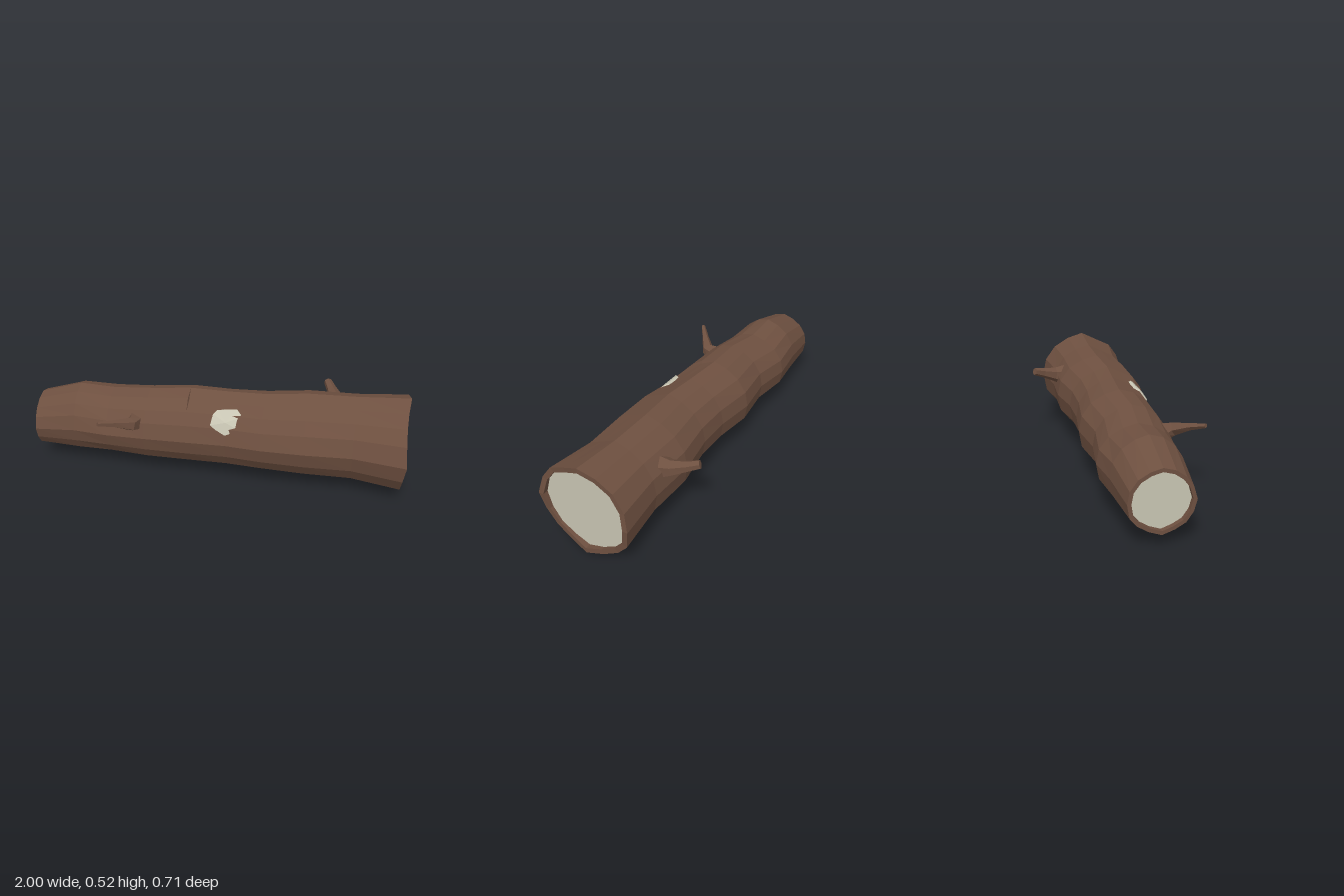
import * as THREE from 'three';

const V = (x, y, z) => new THREE.Vector3(x, y, z);

// Skin a list of closed rings (clockwise seen from the far end)
function loft(rings) {
  const n = rings[0].length, pos = [], idx = [];
  rings.forEach(r => r.forEach(p => pos.push(p.x, p.y, p.z)));
  for (let i = 0; i < rings.length - 1; i++) {
    for (let j = 0; j < n; j++) {
      const a = i * n + j, b = i * n + (j + 1) % n, c = a + n, d = b + n;
      idx.push(a, c, b, b, c, d);
    }
  }
  return build(pos, idx);
}

function build(pos, idx) {
  const g = new THREE.BufferGeometry();
  g.setAttribute('position', new THREE.Float32BufferAttribute(pos, 3));
  g.setIndex(idx);
  const flat = g.toNonIndexed();
  flat.computeVertexNormals();
  return flat;
}

// Triangle fan from a centre point to a ring
function fan(center, ring, flip) {
  const pos = [], idx = [];
  [center, ...ring].forEach(p => pos.push(p.x, p.y, p.z));
  for (let j = 0; j < ring.length; j++) {
    const a = j + 1, b = (j + 1) % ring.length + 1;
    idx.push(0, ...(flip ? [b, a] : [a, b]));
  }
  return build(pos, idx);
}

// Trunk outline as [z, y] fractions of half width and half height
const SECTION = [
  [0, 1], [-0.36, 0.9], [-0.7, 0.7], [-0.93, 0.38], [-1, 0], [-0.93, -0.41],
  [-0.71, -0.67], [-0.38, -0.87], [0, -1], [0.36, -0.87], [0.69, -0.68],
  [0.9, -0.37], [1, 0], [0.88, 0.4], [0.68, 0.68], [0.37, 0.9],
];
// x, top, bottom, front z, back z, 1 where the upper front is sliced flat
const STATIONS = [
  [-1, 0.37, 0.055, 0.165, -0.15, 0],
  [-0.77, 0.44, 0.04, 0.187, -0.175, 0],
  [-0.58, 0.43, 0.05, 0.205, -0.2, 0],
  [-0.37, 0.455, 0.043, 0.22, -0.175, 0],
  [-0.15, 0.47, 0.04, 0.225, -0.205, 0],
  [-0.145, 0.47, 0.04, 0.225, -0.205, 1],
  [0.07, 0.475, 0.045, 0.227, -0.18, 1],
  [0.26, 0.485, 0.05, 0.255, -0.185, 1],
  [0.48, 0.5, 0.035, 0.255, -0.22, 1],
  [0.73, 0.505, 0.03, 0.242, -0.21, 1],
  [1, 0.525, 0.002, 0.282, -0.238, 1],
];

function trunkRing([x, top, bottom, front, back, sliced], scale = 1, dx = 0) {
  return SECTION.map(([u, v], j) => {
    if (sliced && j === 15) [u, v] = [0.34, 0.84];
    const wave = x === 1 && dx === 0 && j % 4 ? -0.015 * Math.abs(Math.sin(j * Math.PI / 4)) : 0;
    return V(x + dx + wave,
      (top + bottom) / 2 + v * scale * (top - bottom) / 2,
      (front + back) / 2 + u * scale * (front - back) / 2);
  });
}

// Tapered branch along points with a radius at each
function branchGeometry(points, radii, sides) {
  const rings = points.map((p, i) => {
    const t = points[Math.min(i + 1, points.length - 1)].clone()
      .sub(points[Math.max(i - 1, 0)]).normalize();
    const u = V(0, 1, 0).cross(t).normalize(), v = u.clone().cross(t);
    return Array.from({ length: sides }, (_, k) => {
      const a = (k + 0.5) / sides * Math.PI * 2;
      return p.clone().addScaledVector(u, Math.cos(a) * radii[i]).addScaledVector(v, Math.sin(a) * radii[i]);
    });
  });
  const tip = points[points.length - 1];
  rings.push(rings[0].map(() => tip.clone()));
  return loft(rings);
}

export function createModel() {
  const log = new THREE.Group();
  log.name = 'log';
  const bark = new THREE.MeshStandardMaterial({ color: 0x6e5040 });
  bark.name = 'bark';
  const wood = new THREE.MeshStandardMaterial({ color: 0xc8c5b3 });
  wood.name = 'paleWood';
  const add = (name, geometry, material) => {
    const mesh = new THREE.Mesh(geometry, material);
    mesh.name = name;
    log.add(mesh);
  };

  // Bark shell, turned in over both rims
  const left = STATIONS[0], right = STATIONS[STATIONS.length - 1];
  const leftCut = trunkRing(left, 0.88, 0.025), rightCut = trunkRing(right, 0.89, -0.03);
  add('trunk', loft([
    leftCut, trunkRing(left, 0.88),
    ...STATIONS.map(s => trunkRing(s)),
    trunkRing(right, 0.89), rightCut,
  ]), bark);

  // Cut ends
  add('leftCutEnd', fan(V(-0.975, 0.2125, 0.0075), leftCut, false), wood);
  add('rightCutEnd', fan(V(0.97, 0.2635, 0.022), rightCut, true), wood);

  // Broken branches
  add('frontBranch', branchGeometry(
    [V(-0.425, 0.32, 0.17), V(-0.43, 0.335, 0.225), V(-0.5, 0.365, 0.285), V(-0.57, 0.388, 0.343)],
    [0.052, 0.036, 0.02, 0.012], 5), bark);
  add('backBranch', branchGeometry(
    [V(0.625, 0.35, -0.14), V(0.612, 0.362, -0.22), V(0.585, 0.382, -0.29), V(0.56, 0.4, -0.345)],
    [0.07, 0.042, 0.028, 0.022], 6), bark);

  // Pale scar where a limb was cut off
  const scar = [
    [-0.01, 0.36, 0.2], [0.02, 0.34, 0.207], [0.07, 0.315, 0.215], [0.145, 0.35, 0.207],
    [0.155, 0.41, 0.168], [0.12, 0.435, 0.138], [0.02, 0.425, 0.145], [0, 0.41, 0.165],
  ].map(p => V(...p));
  add('scar', fan(V(0.07, 0.38, 0.193), scar, false), wood);
  const scarRoot = scar.map(p => p.clone().add(V(0, -0.02, -0.04)));
  add('scarEdge', loft([scarRoot.reverse(), [...scar].reverse()]), wood);

  return log;
}
